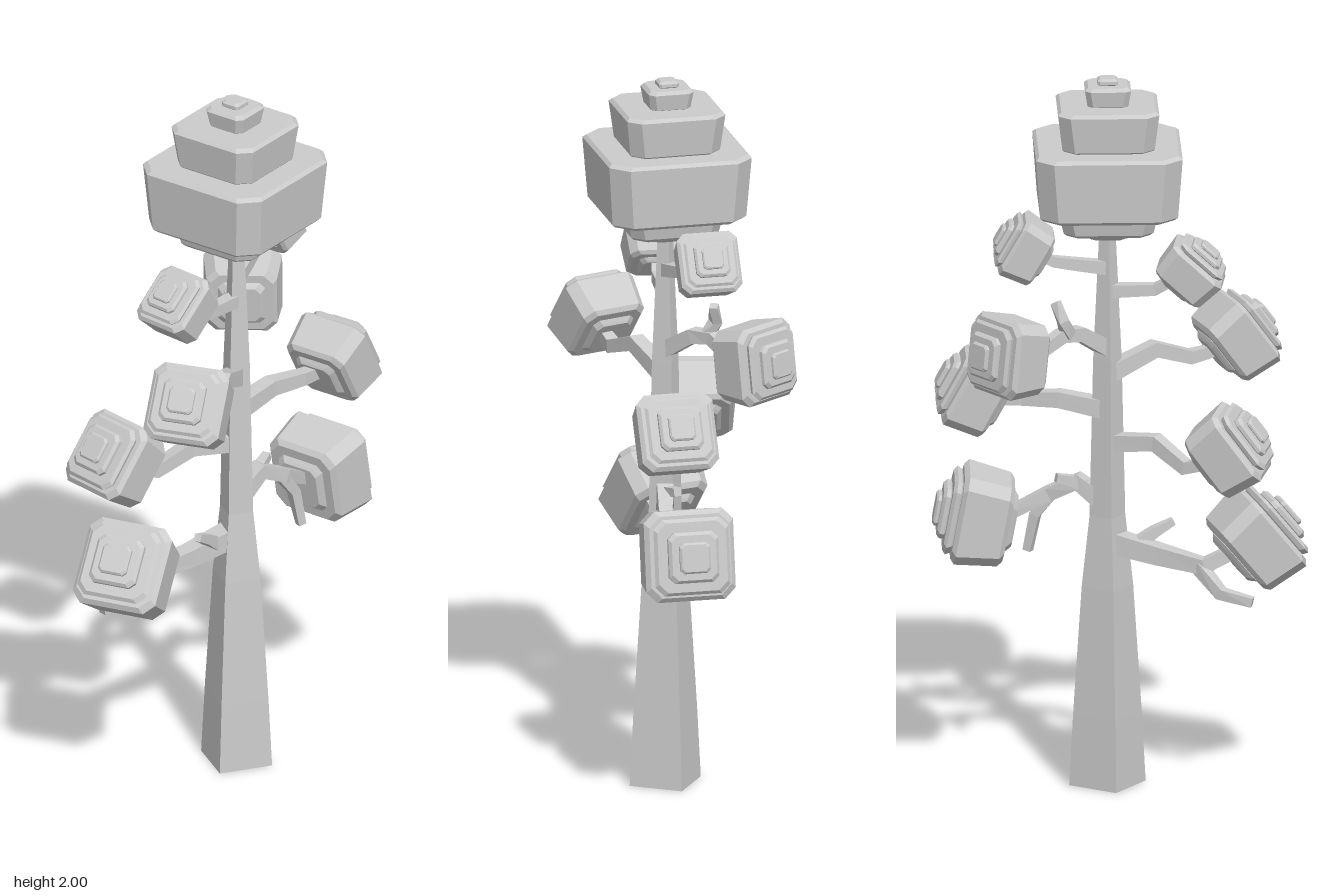
import * as THREE from 'three';

const V = (x, y, z) => new THREE.Vector3(x, y, z);
const UP = V(0, 1, 0);
const CX = 0.04, CZ = 0.04; // trunk axis
const bark = new THREE.MeshStandardMaterial({ color: 0xcccccc, flatShading: true });

// Closed solid through rings of points (counter-clockwise about the path direction)
function loft(rings) {
  const n = rings[0].length, pos = [];
  const tri = (a, b, c) => [a, b, c].forEach(p => pos.push(p.x, p.y, p.z));
  for (let k = 0; k < rings.length - 1; k++) {
    const lo = rings[k], hi = rings[k + 1];
    for (let i = 0; i < n; i++) {
      const j = (i + 1) % n;
      tri(lo[i], lo[j], hi[j]);
      tri(lo[i], hi[j], hi[i]);
    }
  }
  const bottom = rings[0], top = rings[rings.length - 1];
  for (let i = 1; i < n - 1; i++) {
    tri(bottom[0], bottom[i + 1], bottom[i]);
    tri(top[0], top[i], top[i + 1]);
  }
  const geo = new THREE.BufferGeometry();
  geo.setAttribute('position', new THREE.Float32BufferAttribute(pos, 3));
  geo.computeVertexNormals();
  return geo;
}

function mesh(name, geo) {
  const m = new THREE.Mesh(geo, bark);
  m.name = name;
  return m;
}

// Square ring with cut corners, half width h, at height y
function cutSquare(h, cut, y) {
  const a = h - cut;
  return [[-a, h], [a, h], [h, a], [h, -a], [a, -h], [-a, -h], [-h, -a], [-h, a]]
    .map(([x, z]) => V(x, y, z));
}

// Stack of bevelled blocks; each layer is [y0, y1, bottomHalf, topHalf]
function foliage(name, layers, bevel) {
  const g = new THREE.Group();
  g.name = name;
  for (const [y0, y1, hb, ht] of layers) {
    const b = Math.min(bevel, (y1 - y0) * 0.3), cut = ht * 0.24;
    g.add(mesh('leafBlock', loft([
      cutSquare(hb - b, cut, y0),
      cutSquare(hb, cut, y0 + b),
      cutSquare(ht, cut, y1 - b),
      cutSquare(ht - b, cut, y1),
    ])));
  }
  return g;
}

// Four-sided tapering limb along a bent path
function branch(name, points, r0, r1) {
  const pts = points.map(p => V(...p));
  const last = pts.length - 1;
  const rings = pts.map((p, i) => {
    const t = pts[Math.min(i + 1, last)].clone().sub(pts[Math.max(i - 1, 0)]).normalize();
    const s = t.clone().cross(UP).normalize();
    const u = s.clone().cross(t);
    const r = r0 + (r1 - r0) * i / last;
    return [0, 1, 2, 3].map(k => {
      const a = Math.PI / 4 + k * Math.PI / 2;
      return p.clone().addScaledVector(u, r * Math.cos(a)).addScaledVector(s, r * Math.sin(a));
    });
  });
  return mesh(name, loft(rings));
}

// Leaf cluster profile for unit width
const CLUSTER = [
  [-0.42, -0.33, 0.27, 0.3],
  [-0.35, 0.22, 0.45, 0.5],
  [0.2, 0.32, 0.4, 0.42],
  [0.3, 0.41, 0.28, 0.28],
  [0.4, 0.47, 0.17, 0.17],
];

// Centre, growing direction, width
const CLUSTERS = [
  [[-0.19, 1.46, 0.01], [-0.65, 0.75, -0.08], 0.175],
  [[-0.32, 1.24, 0.145], [-0.75, 0.58, 0.24], 0.215],
  [[-0.29, 0.99, -0.13], [-0.75, 0.6, -0.16], 0.22],
  [[-0.37, 0.715, -0.03], [-0.74, 0.62, 0.17], 0.245],
  [[0.272, 1.535, -0.02], [0.86, 0.5, 0], 0.17],
  [[0.32, 1.265, -0.145], [0.82, 0.12, -0.56], 0.215],
  [[0.405, 1.1, 0.105], [0.87, 0.48, 0], 0.215],
  [[0.395, 0.755, 0.07], [0.97, 0.18, 0.02], 0.25],
];

// Path, start radius, end radius
const BRANCHES = [
  [[[0.04, 1.395, 0.04], [-0.09, 1.4, 0.03], [-0.16, 1.44, 0.015]], 0.026, 0.018],
  [[[0.04, 1.16, 0.04], [-0.09, 1.215, 0.09], [-0.19, 1.18, 0.13], [-0.27, 1.2, 0.14]], 0.034, 0.022],
  [[[0.04, 0.965, 0.04], [-0.09, 0.98, -0.02], [-0.17, 0.925, -0.08], [-0.25, 0.95, -0.12]], 0.034, 0.022],
  [[[0.04, 0.69, 0.04], [-0.1, 0.66, -0.01], [-0.22, 0.64, -0.06], [-0.31, 0.68, -0.04]], 0.042, 0.024],
  [[[0.04, 1.46, 0.04], [0.12, 1.475, 0.02], [0.19, 1.49, 0], [0.24, 1.515, -0.01]], 0.026, 0.018],
  [[[0.04, 1.23, 0.04], [0.12, 1.29, -0.02], [0.17, 1.295, -0.06], [0.28, 1.23, -0.12]], 0.032, 0.022],
  [[[0.04, 1.06, 0.04], [0.17, 1.085, 0.06], [0.27, 1.08, 0.09], [0.35, 1.075, 0.1]], 0.036, 0.022],
  [[[0.04, 0.79, 0.04], [0.12, 0.85, 0.06], [0.2, 0.81, 0.08], [0.32, 0.75, 0.075]], 0.036, 0.022],
];
const TWIGS = [
  [[[-0.2, 0.645, -0.05], [-0.265, 0.575, -0.11], [-0.35, 0.555, -0.13]], 0.026, 0.018],
  [[[-0.04, 0.68, 0.02], [-0.09, 0.715, 0.03], [-0.14, 0.74, 0.04]], 0.026, 0.014],
  [[[0.15, 1.295, -0.05], [0.165, 1.34, -0.07], [0.185, 1.39, -0.06]], 0.024, 0.016],
  [[[0.1, 0.84, 0.055], [0.14, 0.855, 0.05], [0.18, 0.865, 0.04]], 0.024, 0.016],
  [[[0.18, 0.825, 0.075], [0.235, 0.75, 0.09], [0.255, 0.645, 0.1]], 0.024, 0.016],
];

export function createModel() {
  const tree = new THREE.Group();
  tree.name = 'tree';

  // Square trunk, narrowing in steps
  const profile = [[0, 0.107], [0.2, 0.096], [0.56, 0.072], [0.76, 0.05], [1.2, 0.04], [1.58, 0.022]];
  tree.add(mesh('trunk', loft(profile.map(([y, r]) => [0, 1, 2, 3].map(k => {
    const a = 0.19 + k * Math.PI / 2;
    return V(CX + r * Math.sin(a), y, CZ + r * Math.cos(a));
  })))));

  // Crown of stacked blocks
  const crown = foliage('crown', [
    [1.55, 1.58, 0.055, 0.058],
    [1.575, 1.635, 0.123, 0.132],
    [1.63, 1.815, 0.188, 0.2],
    [1.81, 1.928, 0.126, 0.138],
    [1.92, 1.982, 0.056, 0.063],
    [1.978, 2, 0.028, 0.028],
  ], 0.009);
  crown.position.set(CX, 0, CZ - 0.005);
  tree.add(crown);

  // Limbs
  BRANCHES.forEach(b => tree.add(branch('branch', ...b)));
  TWIGS.forEach(b => tree.add(branch('twig', ...b)));

  // Leaf clusters pointing outward from the branch ends
  for (const [centre, dir, width] of CLUSTERS) {
    const c = foliage('leafCluster', CLUSTER.map(l => l.map(v => v * width)), 0.05 * width);
    const y = V(...dir).normalize();
    const z = y.clone().cross(UP).normalize();
    const x = y.clone().cross(z);
    c.quaternion.setFromRotationMatrix(new THREE.Matrix4().makeBasis(x, y, z));
    c.position.set(...centre);
    tree.add(c);
  }
  return tree;
}
